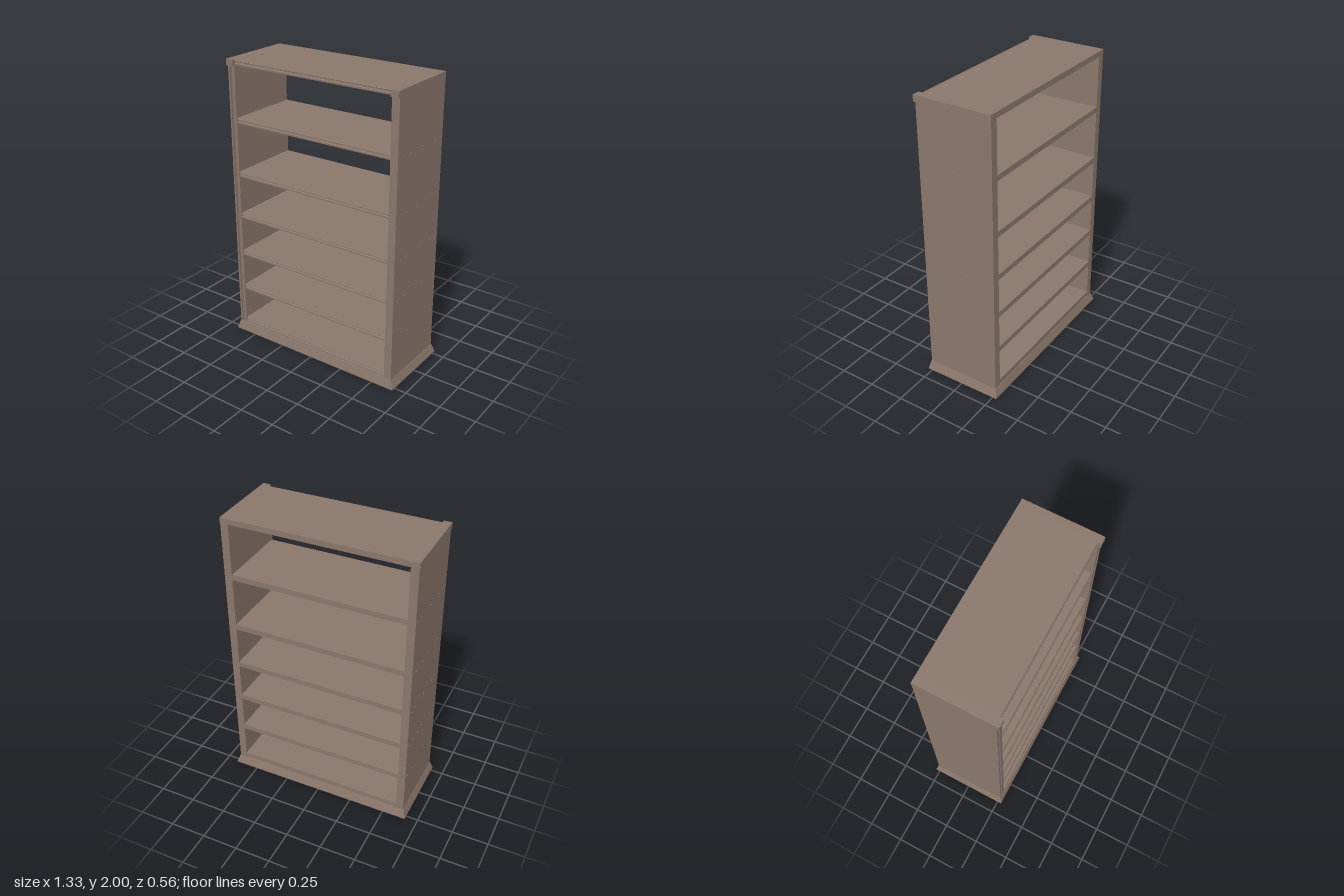
import * as THREE from 'three';

export function createModel() {
  const model = new THREE.Group();
  model.name = 'bookcase';
  const wood = new THREE.MeshStandardMaterial({ color: 0x8a776b });
  wood.name = 'brown wood';

  const add = (name, geometry, parent = model) => {
    const mesh = new THREE.Mesh(geometry, wood);
    mesh.name = name;
    parent.add(mesh);
    return mesh;
  };
  const extrude = (points, depth) => new THREE.ExtrudeGeometry(
    new THREE.Shape(points.map(([x, y]) => new THREE.Vector2(x, y))),
    { depth, bevelEnabled: false });

  // Boards between the sides, with a shallow groove along the front edge
  const board = (name, top, thick) => {
    const half = thick / 2;
    const geometry = extrude([
      [-0.26, -half], [0.26, -half], [0.26, -half * 0.4], [0.253, -half * 0.2],
      [0.253, half * 0.2], [0.26, half * 0.4], [0.255, half], [-0.26, half],
    ], 1.18);
    // Profile x becomes z, extrusion runs along x
    geometry.rotateY(-Math.PI / 2);
    geometry.translate(0.59, top - half, 0);
    add(name, geometry);
  };
  const shelfTops = [0.105, 0.378, 0.65, 0.933, 1.237, 1.612];
  shelfTops.forEach((top) => board('shelf', top, 0.038));
  board('topBoard', 2, 0.038);

  // Rows of plugs on the outer sides, one row for each raised shelf
  const plugRows = [
    [0.09, -0.14, -0.22],
    [0.22, 0.13, 0.0, -0.08, -0.16, -0.23],
    [0.2, 0.13, -0.02, -0.06, -0.17, -0.23],
    [0.19, 0.14, 0.02, -0.09, -0.2],
    [0.2, 0.12, -0.02, -0.17, -0.23],
  ];

  for (const side of [1, -1]) {
    const group = new THREE.Group();
    group.name = side > 0 ? 'leftSide' : 'rightSide';
    model.add(group);

    // Upright panel, moulded along the front edge
    const outline = [
      [0.59, -0.26], [0.643, -0.26], [0.643, 0.265], [0.63, 0.265],
      [0.63, 0.254], [0.612, 0.265], [0.59, 0.265],
    ].map(([x, z]) => [side * x, -z]);
    const panel = extrude(outline, 1.9);
    panel.rotateX(-Math.PI / 2);
    panel.translate(0, 0.06, 0);
    add('sidePanel', panel, group);

    // End cap that overhangs the front of the panel
    const cap = add('endCap', new THREE.BoxGeometry(0.055, 0.042, 0.54), group);
    cap.position.set(side * 0.6175, 1.979, 0.01);

    plugRows.forEach((row, i) => row.forEach((z) => {
      const plug = add('plug', new THREE.CylinderGeometry(0.005, 0.005, 0.008, 8), group);
      plug.rotation.z = Math.PI / 2;
      plug.position.set(side * 0.643, shelfTops[i + 1] - 0.02, z);
    }));
  }

  // Plinth, flared outward to the floor
  const plinth = new THREE.BoxGeometry(1.33, 0.064, 0.56, 1, 2, 1);
  const position = plinth.attributes.position;
  for (let i = 0; i < position.count; i++) {
    const y = position.getY(i);
    if (y > 0.01) {
      position.setX(i, Math.sign(position.getX(i)) * 0.645);
      position.setZ(i, position.getZ(i) > 0 ? 0.267 : -0.262);
    } else if (y > -0.01) {
      position.setY(i, -0.026);
    }
  }
  const flatPlinth = plinth.toNonIndexed();
  flatPlinth.computeVertexNormals();
  add('plinth', flatPlinth).position.y = 0.032;

  return model;
}
